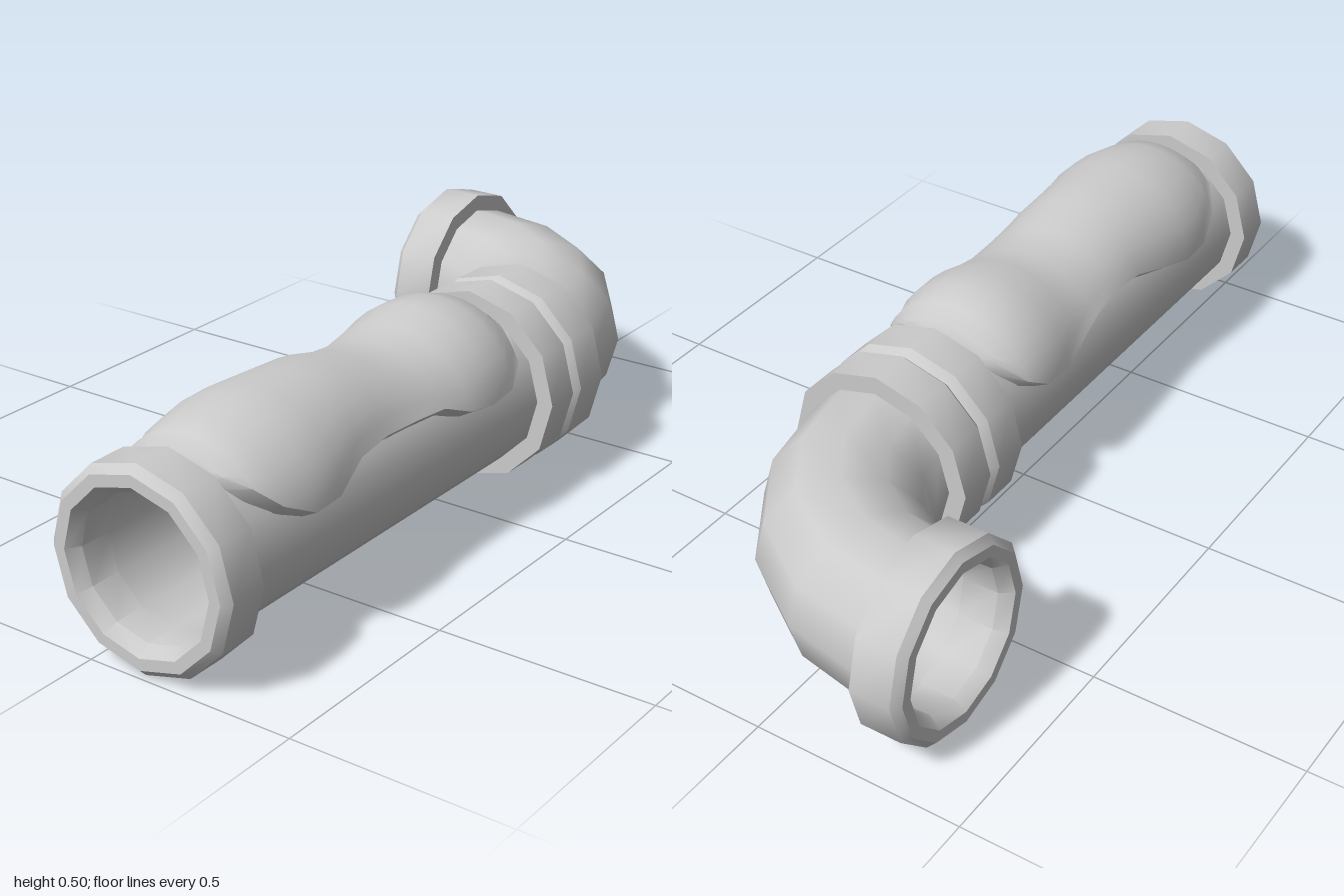
import * as THREE from 'three';
import { toCreasedNormals } from 'three/addons/utils/BufferGeometryUtils.js';

const SIDES = 12, PIPE_R = 0.19, BORE_R = 0.165, COLLAR_R = 0.23;
const AXIS_Y = 0.23, AXIS_Z = 0.13;
const grey = new THREE.MeshStandardMaterial({ color: 0xcccccc });
const inside = new THREE.MeshStandardMaterial({ color: 0xcccccc, side: THREE.BackSide });

function add(parent, name, geometry, material = grey) {
  const mesh = new THREE.Mesh(geometry, material);
  mesh.name = name;
  parent.add(mesh);
  return mesh;
}

// Ring with a chamfered outer lip, grown along +y from its pipe side
function collarGeometry(length) {
  const profile = [
    [BORE_R, 0], [COLLAR_R, 0], [COLLAR_R, length - 0.018], [0.212, length],
    [0.185, length], [BORE_R, length - 0.03], [BORE_R, 0],
  ].map(([r, y]) => new THREE.Vector2(r, y));
  return toCreasedNormals(new THREE.LatheGeometry(profile, SIDES), 0.6);
}

// Lumpy crust over the top of the pipe, lofted from cross-sections
function crustGeometry() {
  // x, thickness on top, reach down the front and the back in degrees
  const rows = [
    [-0.865, -0.01, 25, 25], [-0.86, 0.02, 30, 30], [-0.83, 0.045, 45, 42], [-0.78, 0.06, 60, 58],
    [-0.7, 0.077, 71, 70], [-0.62, 0.08, 70, 71], [-0.52, 0.075, 58, 64], [-0.42, 0.07, 55, 56],
    [-0.32, 0.045, 56, 54], [-0.22, 0.035, 58, 58], [-0.14, 0.05, 67, 64], [-0.06, 0.072, 70, 71],
    [0.02, 0.072, 68, 70], [0.08, 0.055, 56, 60], [0.12, 0.025, 38, 42], [0.13, -0.01, 28, 30],
  ];
  const n = 17, positions = [], index = [];
  rows.forEach(([x, top, front, back], i) => {
    for (let j = 0; j < n; j++) {
      const rim = j === 0 || j === n - 1;
      const u = THREE.MathUtils.clamp((j - 8) / 7, -1, 1);
      const angle = THREE.MathUtils.degToRad(u * (u > 0 ? front : back)) * (rim ? 1.03 : 1);
      const thick = THREE.MathUtils.lerp(top, Math.min(top, 0.035), u * u);
      const r = rim ? 0.178 : PIPE_R + thick;
      positions.push(x, AXIS_Y + r * Math.cos(angle), AXIS_Z + r * Math.sin(angle));
      if (i < rows.length - 1 && j < n - 1) {
        const a = i * n + j;
        index.push(a, a + 1, a + n, a + 1, a + n + 1, a + n);
      }
    }
  });
  const geometry = new THREE.BufferGeometry();
  geometry.setAttribute('position', new THREE.Float32BufferAttribute(positions, 3));
  geometry.setIndex(index);
  return toCreasedNormals(geometry, 0.9);
}

export function createModel() {
  const model = new THREE.Group();
  model.name = 'pipe';

  // Straight hollow run
  const straight = new THREE.Group();
  straight.name = 'straightPipe';
  model.add(straight);
  for (const [name, r, material] of [['pipeWall', PIPE_R, grey], ['pipeBore', BORE_R, inside]]) {
    const wall = add(straight, name, new THREE.CylinderGeometry(r, r, 1.06, SIDES, 1, true), material);
    wall.rotation.z = Math.PI / 2;
    wall.position.set(-0.365, AXIS_Y, AXIS_Z);
  }

  // Quarter-turn hollow elbow
  const elbow = new THREE.Group();
  elbow.name = 'elbow';
  model.add(elbow);
  for (const [name, r, material] of [['elbowWall', PIPE_R, grey], ['elbowBore', BORE_R, inside]]) {
    const bend = add(elbow, name, new THREE.TorusGeometry(0.38, r, SIDES, 4, Math.PI / 2), material);
    bend.rotation.x = Math.PI / 2;
    bend.position.set(0.39, AXIS_Y, -0.25);
  }

  // Collars: name, length, position of the pipe side, rotation to face outward
  const collars = [
    ['endCollar', 0.11, [-0.89, AXIS_Y, AXIS_Z], [0, 0, Math.PI / 2]],
    ['jointCollar', 0.11, [0.16, AXIS_Y, AXIS_Z], [0, 0, -Math.PI / 2]],
    ['elbowJointCollar', 0.115, [0.385, AXIS_Y, AXIS_Z], [0, 0, Math.PI / 2]],
    ['elbowEndCollar', 0.115, [0.77, AXIS_Y, -0.245], [-Math.PI / 2, 0, 0]],
  ];
  for (const [name, length, position, rotation] of collars) {
    const collar = add(model, name, collarGeometry(length));
    collar.position.set(...position);
    collar.rotation.set(...rotation);
  }

  add(model, 'crust', crustGeometry());
  return model;
}
